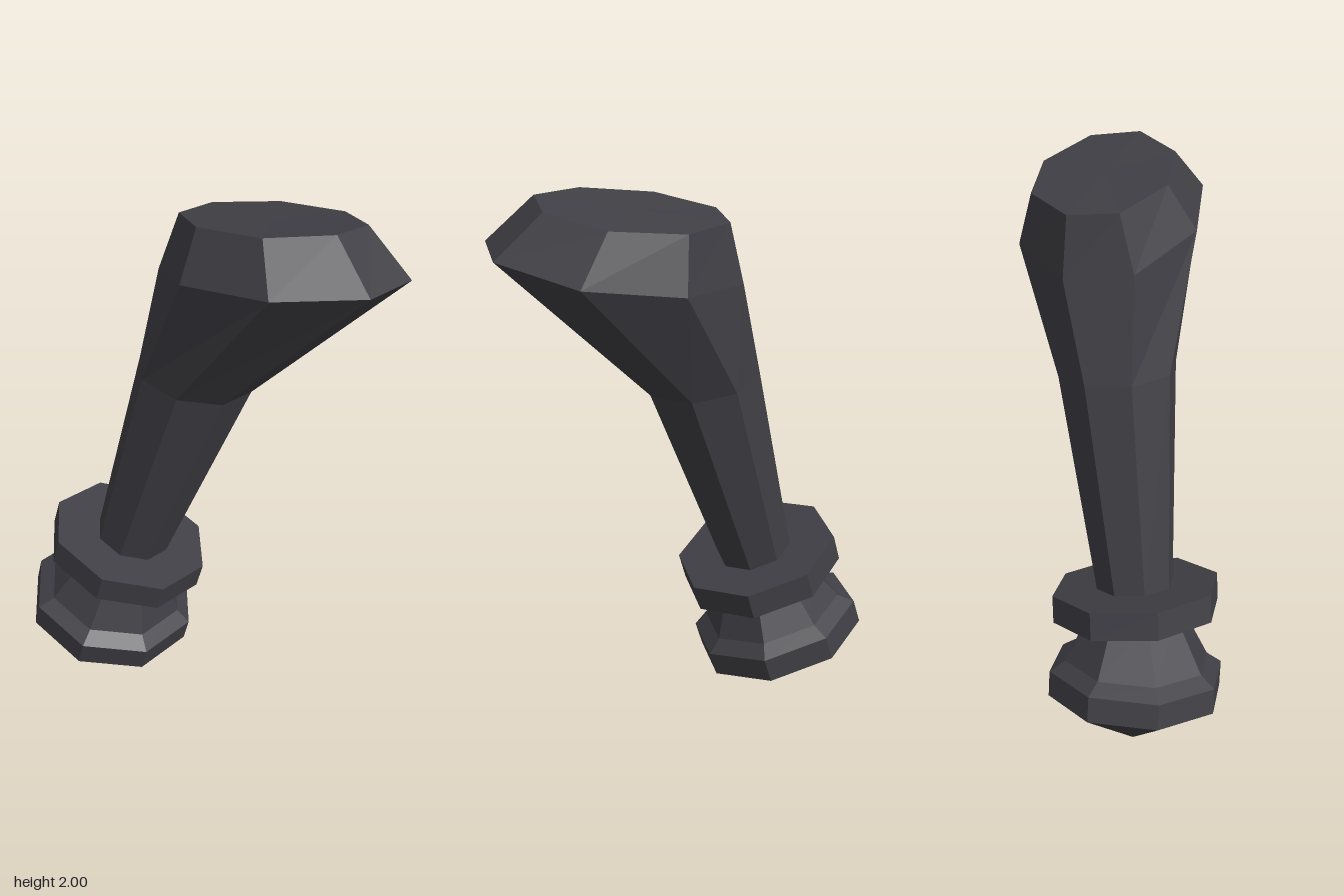
import * as THREE from 'three';

const V = (x, y, z) => new THREE.Vector3(x, y, z);

// Eight-sided ring around a centre, facing along a normal; runs from the front towards +x
function octagon(center, normal, apothem) {
  const n = normal.clone().normalize();
  const u = V(1, 0, 0).addScaledVector(n, -n.x).normalize();
  const w = new THREE.Vector3().crossVectors(u, n);
  const r = apothem / Math.cos(Math.PI / 8);
  return Array.from({ length: 8 }, (_, k) => {
    const t = ((k + 0.5) * Math.PI) / 4;
    return center.clone().addScaledVector(u, r * Math.sin(t)).addScaledVector(w, r * Math.cos(t));
  });
}

// Skin a stack of rings from bottom to top, closing both ends with fans
function loft(rings, tip) {
  const p = [];
  const tri = (...pts) => pts.forEach((v) => p.push(v.x, v.y, v.z));
  const middle = (ring) => ring.reduce((s, v) => s.add(v), V(0, 0, 0)).divideScalar(ring.length);
  const first = rings[0];
  const last = rings[rings.length - 1];
  const bottom = tip || middle(first);
  const top = middle(last);
  for (let k = 0; k < 8; k++) {
    const j = (k + 1) % 8;
    tri(bottom, first[j], first[k]);
    tri(top, last[k], last[j]);
    for (let i = 0; i + 1 < rings.length; i++) {
      const lo = rings[i];
      const hi = rings[i + 1];
      tri(lo[k], lo[j], hi[j]);
      tri(lo[k], hi[j], hi[k]);
    }
  }
  const g = new THREE.BufferGeometry();
  g.setAttribute('position', new THREE.Float32BufferAttribute(p, 3));
  g.computeVertexNormals();
  return g;
}

export function createModel() {
  const group = new THREE.Group();
  const charcoal = new THREE.MeshStandardMaterial({ color: 0x403f45 });
  charcoal.name = 'charcoal';
  charcoal.flatShading = true;
  const add = (name, geometry) => {
    const mesh = new THREE.Mesh(geometry, charcoal);
    mesh.name = name;
    group.add(mesh);
  };

  // Pointed foot, thick rim and tapering neck
  const footAxis = V(0, 1, 0.284);
  add('pointedFoot', loft([
    octagon(V(-0.105, 0.188, -0.4), footAxis, 0.3),
    octagon(V(-0.105, 0.278, -0.373), footAxis, 0.3),
    octagon(V(-0.105, 0.315, -0.363), footAxis, 0.247),
    octagon(V(-0.095, 0.51, -0.31), footAxis, 0.15),
  ], V(-0.105, 0, -0.45)));

  // Flat collar, leaning slightly sideways
  const collarAxis = V(0.115, 1, 0.284);
  add('collar', loft([
    octagon(V(-0.095, 0.49, -0.315), collarAxis, 0.284),
    octagon(V(-0.088, 0.587, -0.288), collarAxis, 0.284),
  ]));

  // Flaring shaft that opens into the slanted oval head
  const headRim = [
    [0.227, 1.83, 0.68], [0.403, 1.767, 0.43], [0.385, 1.72, 0.085], [0.183, 1.7, -0.152],
    [-0.055, 1.73, -0.145], [-0.23, 1.8, 0.106], [-0.21, 1.837, 0.45], [-0.01, 1.847, 0.685],
  ].map((c) => V(...c));
  const headTop = [
    [0.21, 1.978, 0.515], [0.345, 1.937, 0.33], [0.333, 1.912, 0.07], [0.176, 1.91, -0.105],
    [0, 1.925, -0.1], [-0.13, 1.962, 0.09], [-0.12, 1.99, 0.35], [0.03, 2, 0.522],
  ].map((c) => V(...c));
  add('shaftAndHead', loft([
    octagon(V(-0.085, 0.575, -0.283), collarAxis, 0.13),
    octagon(V(0.018, 1.33, -0.045), V(0.09, 1, 0.15), 0.195),
    headRim,
    headTop,
  ]));

  return group;
}
